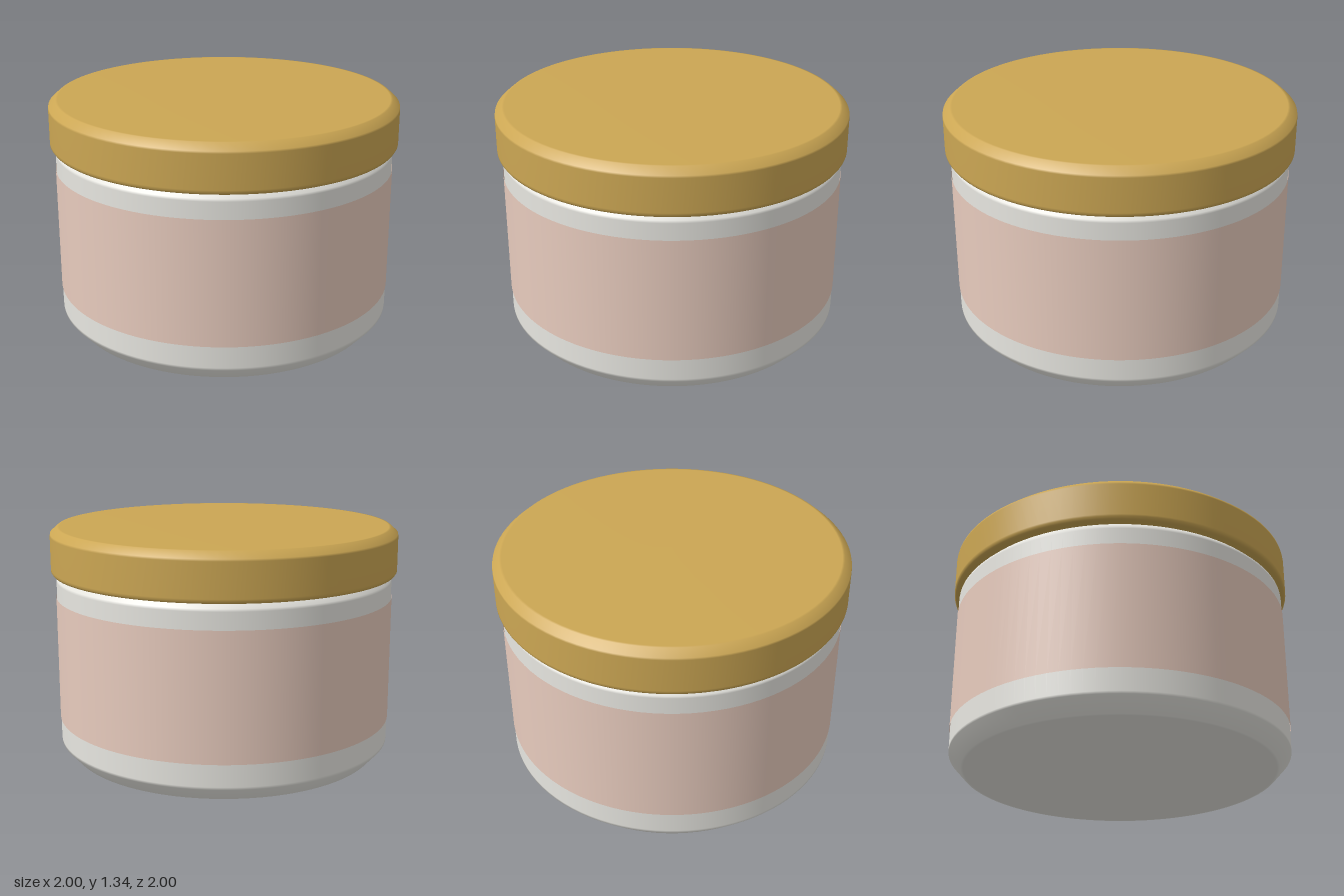
import * as THREE from 'three';

const SEGMENTS = 96;

// Turned part from [radius, height] pairs, listed from the bottom axis up to the top axis
function turned(name, profile, material) {
  const points = profile.map(([r, y]) => new THREE.Vector2(r, y));
  const mesh = new THREE.Mesh(new THREE.LatheGeometry(points, SEGMENTS), material);
  mesh.name = name;
  return mesh;
}

export function createModel() {
  const gold = new THREE.MeshStandardMaterial({ name: 'gold', color: 0xcba653 });
  const white = new THREE.MeshStandardMaterial({ name: 'offWhite', color: 0xefeee8 });
  const pink = new THREE.MeshStandardMaterial({ name: 'palePink', color: 0xedd0c2, side: THREE.DoubleSide });

  const model = new THREE.Group();
  model.name = 'jar';

  // Jar body: bevelled foot, straight wall, small shoulder; close pairs keep the flats flat
  model.add(turned('body', [
    [0, 0], [0.885, 0], [0.9, 0.002], [0.97, 0.08], [0.971, 0.095],
    [0.971, 1.03], [0.97, 1.045], [0.945, 1.07], [0.935, 1.08], [0.92, 1.08], [0, 1.08],
  ], white));

  // Wrap-around label band
  const label = new THREE.Mesh(
    new THREE.CylinderGeometry(0.975, 0.975, 0.715, SEGMENTS, 1, true), pink);
  label.name = 'label';
  label.position.y = 0.5775;
  model.add(label);

  // Lid: flat underside, tiny lower bevel, wider upper bevel
  model.add(turned('lid', [
    [0, 1.075], [0.98, 1.075], [0.992, 1.076], [1, 1.088], [1, 1.1],
    [1, 1.29], [0.998, 1.302], [0.958, 1.337], [0.945, 1.338], [0, 1.338],
  ], gold));

  return model;
}
